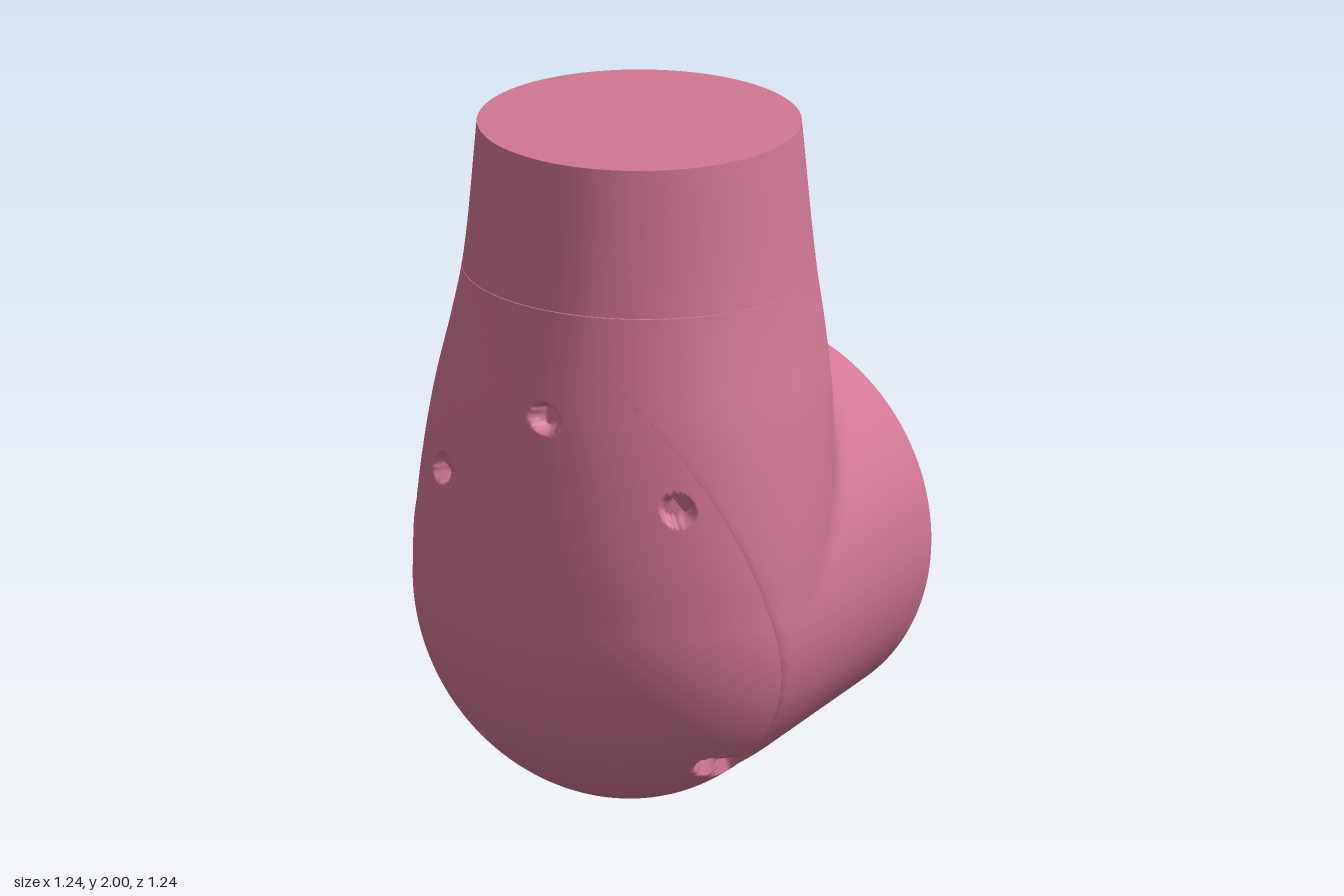
import * as THREE from 'three';

const { smoothstep, clamp } = THREE.MathUtils;
const material = new THREE.MeshStandardMaterial({ color: 0xd17694 });
const TOP = 2, JOINT = 1.56, BACK = -0.62, AXIS = 0.62, RADIUS = 0.617;

// Upright limb by height: half width, front z, z of the widest point, back z
const heights = [0.62, 0.8, 1.0, 1.2, 1.4, 1.56, 2];
const limb = new THREE.CubicInterpolant(heights, [
  0.621, 0.616, 0.2, -0.47,
  0.622, 0.618, 0.18, -0.47,
  0.612, 0.609, 0.14, -0.47,
  0.588, 0.593, 0.1, -0.47,
  0.548, 0.568, 0.065, -0.465,
  0.517, 0.55, 0.05, -0.45,
  0.47, 0.52, 0.05, -0.42,
], 4, new Float32Array(4));

// Signed offset from the upright limb, which ends below in an egg-shaped dome
function upright(p) {
  const [w, front, c, back] = limb.evaluate(clamp(p.y, AXIS, TOP));
  const dx = p.x / w;
  const dy = Math.max(0, AXIS - p.y) / RADIUS;
  const dz = (p.z - c) / (p.z > c ? front - c : c - back);
  const len = Math.hypot(dx, dy, dz);
  return { d: (len - 1) * w, inner: Math.max(0, -dz / (Math.hypot(dx, dz) + 1e-6)) };
}

// Signed offset from the limb that points backwards, rounded off at the front
function backward(p) {
  const t = clamp(p.z / BACK, 0, 1);
  const r = RADIUS - 0.032 * t;
  const y = p.y - AXIS - 0.015 * t;
  const len = Math.hypot(p.x, y);
  const dz = Math.max(0, p.z - 0.2) / 0.416;
  return { d: (Math.hypot(len / r, dz) - 1) * r, inner: Math.max(0, y / (len + 1e-6)) };
}

// Both limbs joined, with a fillet that fades out towards the sides
function elbow(p) {
  const a = upright(p), b = backward(p);
  const k = 0.176 * a.inner * b.inner + 1e-5;
  const h = Math.max(0, k - Math.abs(a.d - b.d)) / k;
  return Math.min(a.d, b.d) - h * h * k / 4;
}

// Slanted plane that separates the front cover from the body
const coverNormal = new THREE.Vector3(0, -0.32, 1).normalize();
const coverUp = new THREE.Vector3(0, 1, 0.32).normalize();
const coverCentre = new THREE.Vector3(0, 0.72, 0.34);
const ahead = p => (p.z - 0.11 - 0.32 * p.y) * coverNormal.z;
const bodyField = p => elbow(p) + 0.07 * smoothstep(ahead(p), 0.004, 0.04);
const coverField = p => elbow(p) - 0.004;

// Surface point along a ray
function cast(field, origin, dir) {
  let lo = 0, hi = 1.4;
  const p = new THREE.Vector3();
  for (let i = 0; i < 24; i++) {
    const mid = (lo + hi) / 2;
    p.copy(origin).addScaledVector(dir, mid);
    if (field(p) < 0) lo = mid; else hi = mid;
  }
  return p;
}

// Closed ring of surface points around an origin, lifted towards the cover normal
function ring(field, origin, u, v, n, lift = 0) {
  return Array.from({ length: n }, (_, i) => {
    const a = i / n * Math.PI * 2;
    const dir = new THREE.Vector3().addScaledVector(u, Math.cos(a) * Math.cos(lift))
      .addScaledVector(v, Math.sin(a) * Math.cos(lift)).addScaledVector(coverNormal, Math.sin(lift));
    return cast(field, origin, dir);
  });
}

// Skin through closed rings, with optional flat ends
function loft(name, rings, capped) {
  const n = rings[0].length, pos = [], idx = [];
  const push = p => pos.push(p.x, p.y, p.z) / 3 - 1;
  rings.forEach(r => r.forEach(push));
  for (let i = 0; i < rings.length - 1; i++) {
    for (let j = 0; j < n; j++) {
      const p = i * n + j, q = i * n + (j + 1) % n;
      idx.push(p, q, p + n, q, q + n, p + n);
    }
  }
  const cap = (r, flip) => {
    const c = new THREE.Vector3();
    r.forEach(p => c.addScaledVector(p, 1 / n));
    const hub = push(c);
    r.forEach(push);
    for (let j = 0; j < n; j++) {
      const p = hub + 1 + j, q = hub + 1 + (j + 1) % n;
      if (flip) idx.push(hub, q, p); else idx.push(hub, p, q);
    }
  };
  if (capped) {
    cap(rings[0], true);
    cap(rings[rings.length - 1], false);
  }
  const g = new THREE.BufferGeometry();
  g.setAttribute('position', new THREE.Float32BufferAttribute(pos, 3));
  g.setIndex(idx);
  g.computeVertexNormals();
  const mesh = new THREE.Mesh(g, material);
  mesh.name = name;
  return mesh;
}

const X = new THREE.Vector3(1, 0, 0), Z = new THREE.Vector3(0, 0, 1);
const level = (y, n) => ring(bodyField, new THREE.Vector3(0, y, 0.05), X, Z, n);

// Upper sleeve
function makeSleeve() {
  const rings = [];
  for (let i = 0; i <= 10; i++) rings.push(level(TOP + (JOINT + 0.001 - TOP) * i / 10, 128));
  return loft('upperSleeve', rings, true);
}

// Bent body: level rings, then rings that fan around the inner corner
function makeBody() {
  const n = 128, rings = [], hingeY = 1.37;
  for (let i = 0; i < 8; i++) rings.push(level(JOINT - 0.001 + (hingeY - JOINT) * i / 8, n));
  for (let i = 0; i <= 90; i++) {
    const t = i / 90 * Math.PI / 2;
    const dir = new THREE.Vector3(0, -Math.sin(t), Math.cos(t));
    const reach = 0.67 + 0.065 * i / 90 + 0.1 * Math.sin(2 * t);
    const centre = new THREE.Vector3(0, hingeY, BACK).addScaledVector(dir, reach);
    rings.push(ring(bodyField, centre, X, dir, n));
  }
  return loft('elbowBody', rings, true);
}

// Front cover with five screw recesses
function makeCover() {
  const holes = [[0, 1.245], [0.395, 1.005], [-0.395, 1.005], [0.41, 0.165], [-0.41, 0.165]];
  const rings = [], steps = 150, n = 280;
  for (let i = 0; i <= steps; i++) {
    const lift = Math.pow(i / steps, 1.7) * Math.PI / 2;
    rings.push(ring(coverField, coverCentre, X, coverUp, n, lift));
  }
  const rim = rings[0].map(p => p.clone().lerp(coverCentre, 0.05));
  for (const p of rings.flat()) {
    const margin = smoothstep(ahead(p), 0.02, 0.045);
    for (const [x, y] of holes) {
      const depth = 0.045 * margin * (1 - smoothstep(Math.hypot(p.x - x, p.y - y), 0.035, 0.044));
      if (depth > 0) {
        const inward = new THREE.Vector3(0, clamp(p.y, 0.5, 1.3), 0).sub(p).normalize();
        p.addScaledVector(inward, depth);
        break;
      }
    }
  }
  return loft('frontCover', [rim, ...rings], false);
}

export function createModel() {
  const model = new THREE.Group();
  model.name = 'elbowJoint';
  model.add(makeSleeve(), makeBody(), makeCover());
  return model;
}
